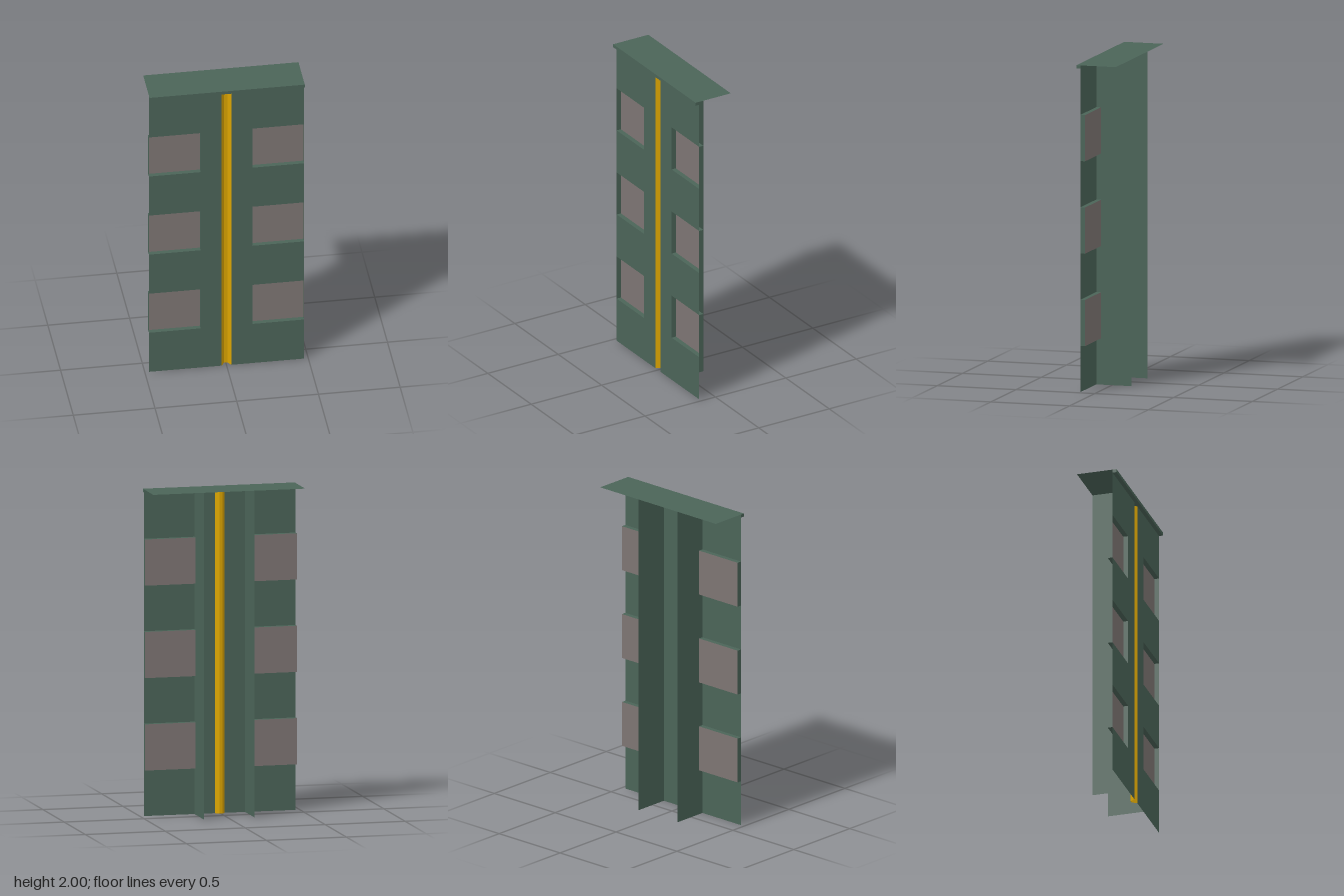
import * as THREE from 'three';

const mat = (color) => new THREE.MeshStandardMaterial({ color, side: THREE.DoubleSide, flatShading: true });
const green = mat(0x4b6458), grey = mat(0x7d7573), yellow = mat(0xd9a300);

const W = 0.475, D = 0.125;      // half width, half depth
const H = 1.98, U = H / 7;       // sheet height, window module
const FRONT = 0.1, BACK = 0.07;  // sheet plane, recess floor
const FIN = W / 3, GAP = 0.03;   // fin position, half groove width

// Thin sheet of given size, turned about x or y
function sheet(name, w, h, material, pos, rx = 0, ry = 0) {
  const m = new THREE.Mesh(new THREE.PlaneGeometry(w, h), material);
  m.name = name;
  m.position.set(...pos);
  m.rotation.set(rx, ry, 0);
  return m;
}

// Front sheet of one half, notched at the outer edge for three windows
function frontSheet(side) {
  const pts = [[GAP, 0], [W, 0]];
  for (const r of [1, 3, 5]) {
    pts.push([W, r * U], [FIN, r * U], [FIN, (r + 1) * U], [W, (r + 1) * U]);
  }
  pts.push([W, H], [GAP, H]);
  const shape = new THREE.Shape(pts.map(([x, y]) => new THREE.Vector2(side * x, y)));
  const m = new THREE.Mesh(new THREE.ShapeGeometry(shape), green);
  m.name = 'frontSheet';
  m.position.z = FRONT;
  return m;
}

// Recessed window: pane, sill, head and outer wall (the fin closes the inner side)
function recessedWindow(side, y) {
  const g = new THREE.Group();
  g.name = 'recessedWindow';
  const w = W - FIN, x = side * (W + FIN) / 2, d = FRONT - BACK, z = (FRONT + BACK) / 2;
  g.add(
    sheet('pane', w, U, grey, [x, y + U / 2, BACK]),
    sheet('sill', w, d, green, [x, y, z], -Math.PI / 2),
    sheet('head', w, d, green, [x, y + U, z], Math.PI / 2),
    sheet('outerWall', d, U, green, [side * W, y + U / 2, z], 0, side * Math.PI / 2),
  );
  return g;
}

export function createModel() {
  const model = new THREE.Group();
  model.name = 'wallPanel';

  for (const side of [-1, 1]) {
    const half = new THREE.Group();
    half.name = side > 0 ? 'leftHalf' : 'rightHalf';
    half.add(frontSheet(side));
    for (const r of [1, 3, 5]) half.add(recessedWindow(side, r * U));
    // Rear stiffening fin
    half.add(sheet('fin', FRONT + D, 2, green, [side * FIN, 1, (FRONT - D) / 2], 0, side * Math.PI / 2));
    model.add(half);
  }

  // Folded centre groove
  const groove = new THREE.Group();
  groove.name = 'centreGroove';
  const run = GAP * 2 / 3, d = FRONT - BACK;
  groove.add(sheet('grooveFloor', run, H, yellow, [0, H / 2, BACK]));
  for (const side of [-1, 1]) {
    groove.add(sheet('grooveWall', Math.hypot(run, d), H, yellow,
      [side * run, H / 2, (FRONT + BACK) / 2], 0, -side * Math.atan2(d, run)));
  }
  model.add(groove);

  // Top plate with front lip
  model.add(sheet('topPlate', 2 * W, 2 * D, green, [0, 2, 0], -Math.PI / 2));
  const lip = new THREE.Mesh(new THREE.BoxGeometry(2 * W, 2 - H, D - FRONT), green);
  lip.name = 'topLip';
  lip.position.set(0, (2 + H) / 2, (D + FRONT) / 2);
  model.add(lip);
  return model;
}
